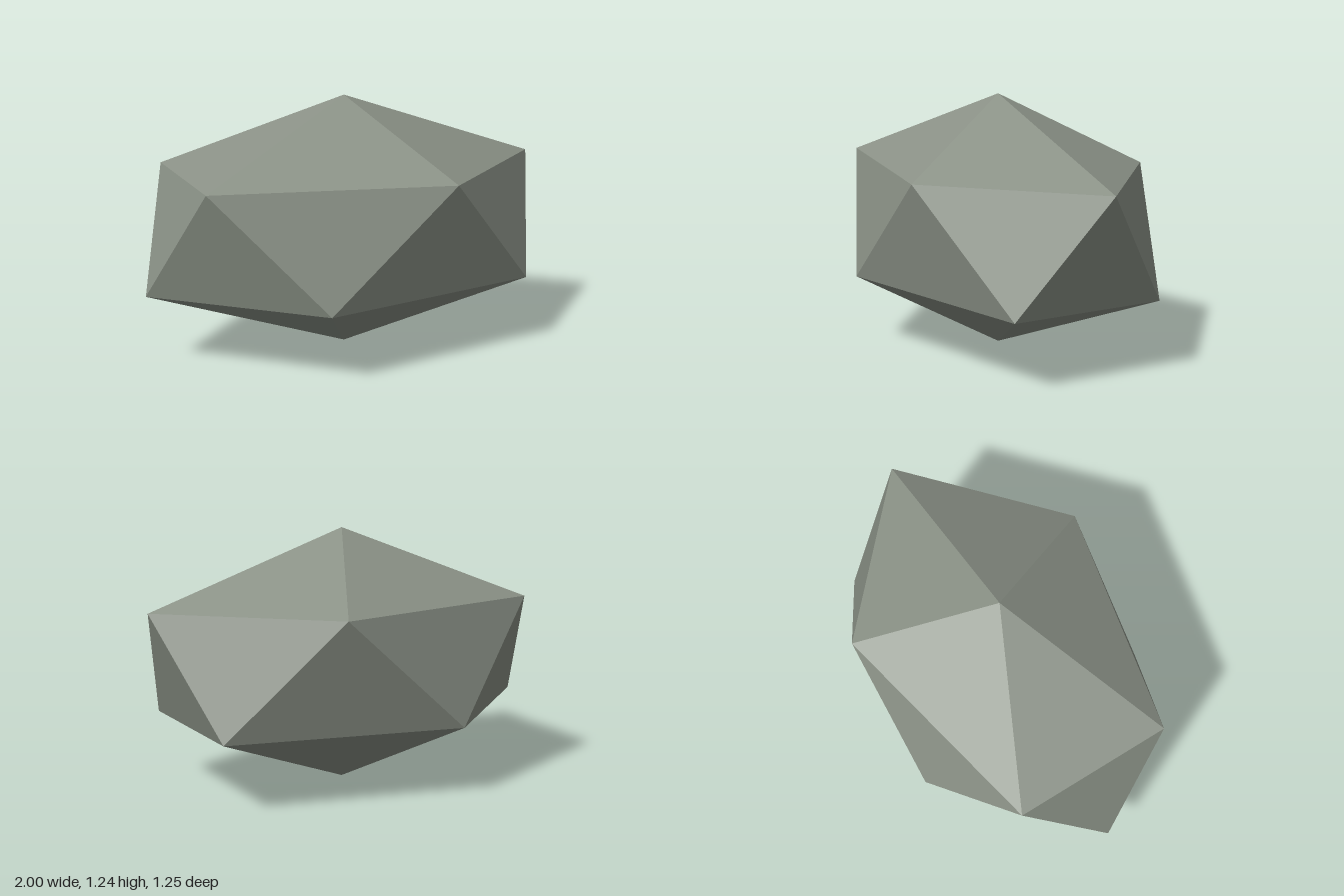
import * as THREE from 'three';

// Half sizes of the stretched twenty-sided stone
const RX = 1, RY = 0.618, RZ = 0.655;
const RING = RY * 0.447; // height of the two rings from the middle

export function createModel() {
  const stone = new THREE.MeshStandardMaterial({ color: 0x8a9186 });
  const group = new THREE.Group();
  group.name = 'rock';

  const ringPoint = (step, y) => {
    const a = (step * Math.PI) / 5;
    return [RX * Math.cos(a), y, RZ * Math.sin(a)];
  };
  const upper = (i) => ringPoint(2 * i, RING);
  const lower = (i) => ringPoint(2 * i + 1, -RING);
  const top = [0, RY, 0], bottom = [0, -RY, 0];

  // Each fifth: one cap face, two side faces, one base face
  const corners = [];
  for (let i = 0; i < 5; i++) {
    corners.push(
      top, upper(i + 1), upper(i),
      upper(i), upper(i + 1), lower(i),
      lower(i), upper(i + 1), lower(i + 1),
      bottom, lower(i), lower(i + 1)
    );
  }

  // Unshared corners give flat facets
  const geometry = new THREE.BufferGeometry();
  geometry.setAttribute('position', new THREE.Float32BufferAttribute(corners.flat(), 3));
  geometry.computeVertexNormals();

  const mesh = new THREE.Mesh(geometry, stone);
  mesh.name = 'facetedStone';
  mesh.position.y = RY + 0.003;
  group.add(mesh);
  return group;
}
